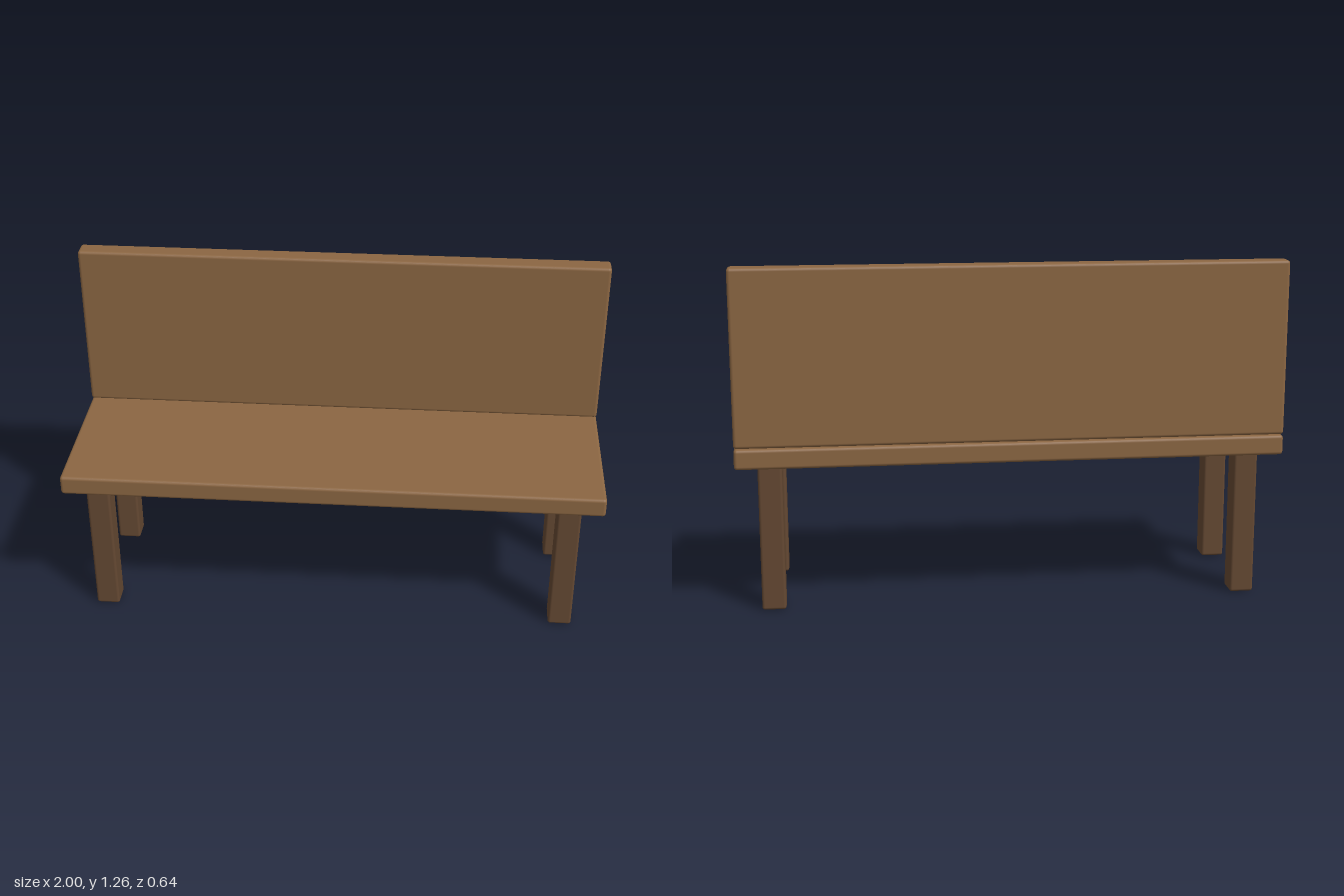
import * as THREE from 'three';
import { RoundedBoxGeometry } from 'three/addons/geometries/RoundedBoxGeometry.js';

export function createModel() {
  const bench = new THREE.Group();
  bench.name = 'bench';

  const plankWood = new THREE.MeshStandardMaterial({ color: 0x8b6642 });
  plankWood.name = 'plank wood';
  const legWood = new THREE.MeshStandardMaterial({ color: 0x644832 });
  legWood.name = 'dark leg wood';

  // Board with softened edges, placed by its centre
  function addBoard(name, size, position, material, radius = 0.012) {
    const mesh = new THREE.Mesh(new RoundedBoxGeometry(...size, 3, radius), material);
    mesh.name = name;
    mesh.position.set(...position);
    bench.add(mesh);
  }

  // Seat and backrest, flush at the rear
  addBoard('seat', [2, 0.074, 0.642], [0, 0.583, 0], plankWood);
  addBoard('backrest', [2, 0.642, 0.074], [0, 0.944, -0.284], plankWood);

  // Four square legs
  for (const [side, sx] of [['Left', 1], ['Right', -1]]) {
    for (const [end, sz] of [['front', 1], ['back', -1]]) {
      addBoard(`${end}${side}Leg`, [0.088, 0.546, 0.088], [sx * 0.877, 0.273, sz * 0.22], legWood, 0.01);
    }
  }

  return bench;
}
